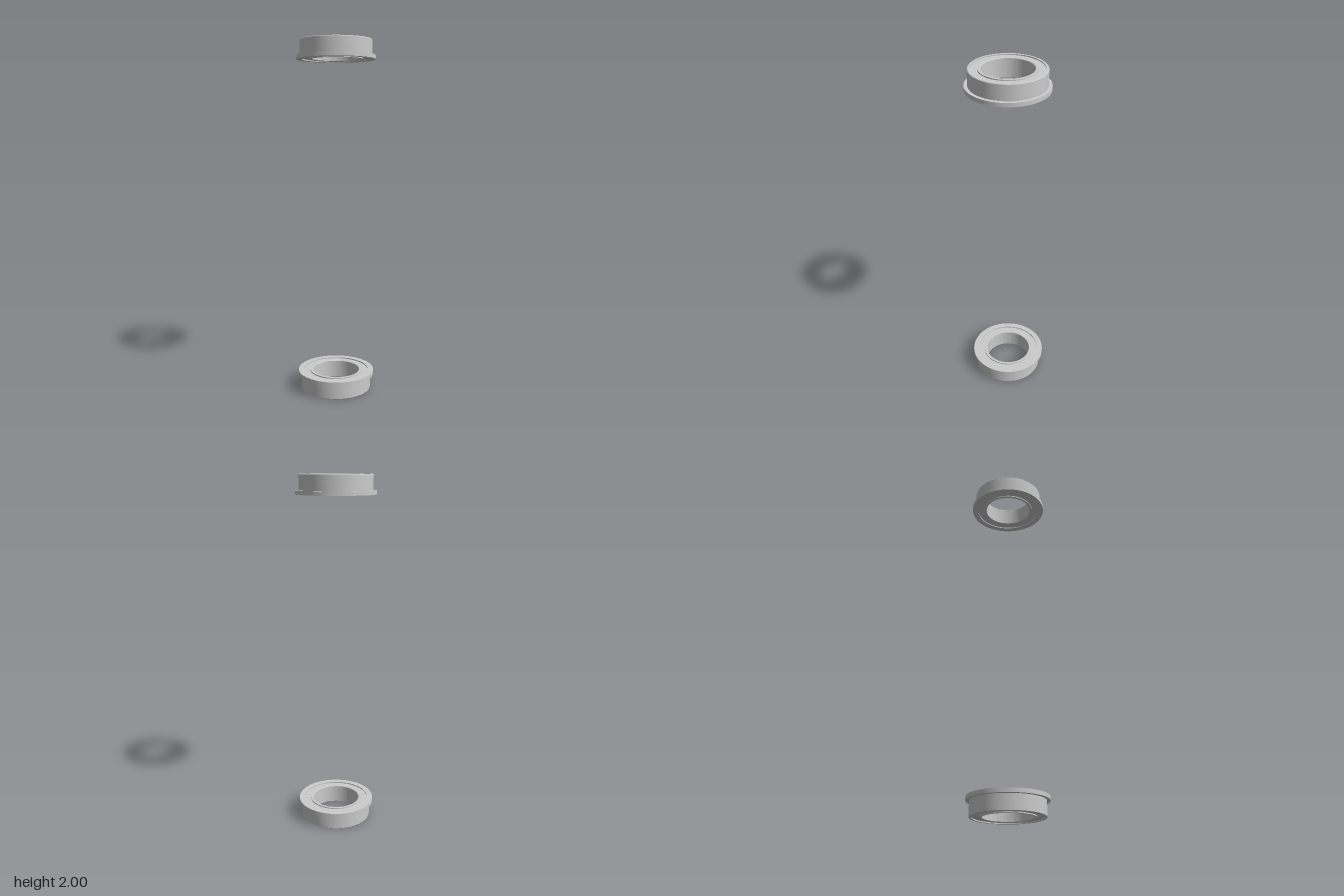
import * as THREE from 'three';
import { toCreasedNormals } from 'three/addons/utils/BufferGeometryUtils.js';

const HEIGHT = 0.107, FLANGE = 0.022, RECESS = 0.006, C = 0.003;
const material = new THREE.MeshStandardMaterial({ color: 0xcccccc });

// Revolves a closed profile of [radius, y], listed counter-clockwise.
function ring(name, profile) {
  const points = [...profile, profile[0]].map(([r, y]) => new THREE.Vector2(r, y));
  const geometry = toCreasedNormals(new THREE.LatheGeometry(points, 96), 0.5);
  const mesh = new THREE.Mesh(geometry, material);
  mesh.name = name;
  return mesh;
}

// One flanged bearing, with its flange face on y = 0.
function createBearing(name) {
  const bearing = new THREE.Group();
  bearing.name = name;
  bearing.add(
    ring('outerRing', [
      [0.187, 0], [0.22, 0], [0.22, FLANGE], [0.201, FLANGE],
      [0.201, HEIGHT - C], [0.201 - C, HEIGHT], [0.187, HEIGHT],
    ]),
    ring('innerRing', [
      [0.134 + C, 0], [0.151, 0], [0.151, HEIGHT], [0.134 + C, HEIGHT],
      [0.134, HEIGHT - C], [0.134, C],
    ]),
    // Recessed shield closing the gap between the rings on both faces
    ring('shield', [
      [0.15, RECESS], [0.188, RECESS], [0.188, HEIGHT - RECESS], [0.15, HEIGHT - RECESS],
    ]),
  );
  return bearing;
}

export function createModel() {
  const model = new THREE.Group();
  model.name = 'bearingPair';

  // The flanges face each other across the gap
  const upper = createBearing('upperBearing');
  upper.position.y = 2 - HEIGHT;
  const lower = createBearing('lowerBearing');
  lower.rotation.x = Math.PI;
  lower.position.y = HEIGHT;

  model.add(upper, lower);
  return model;
}
